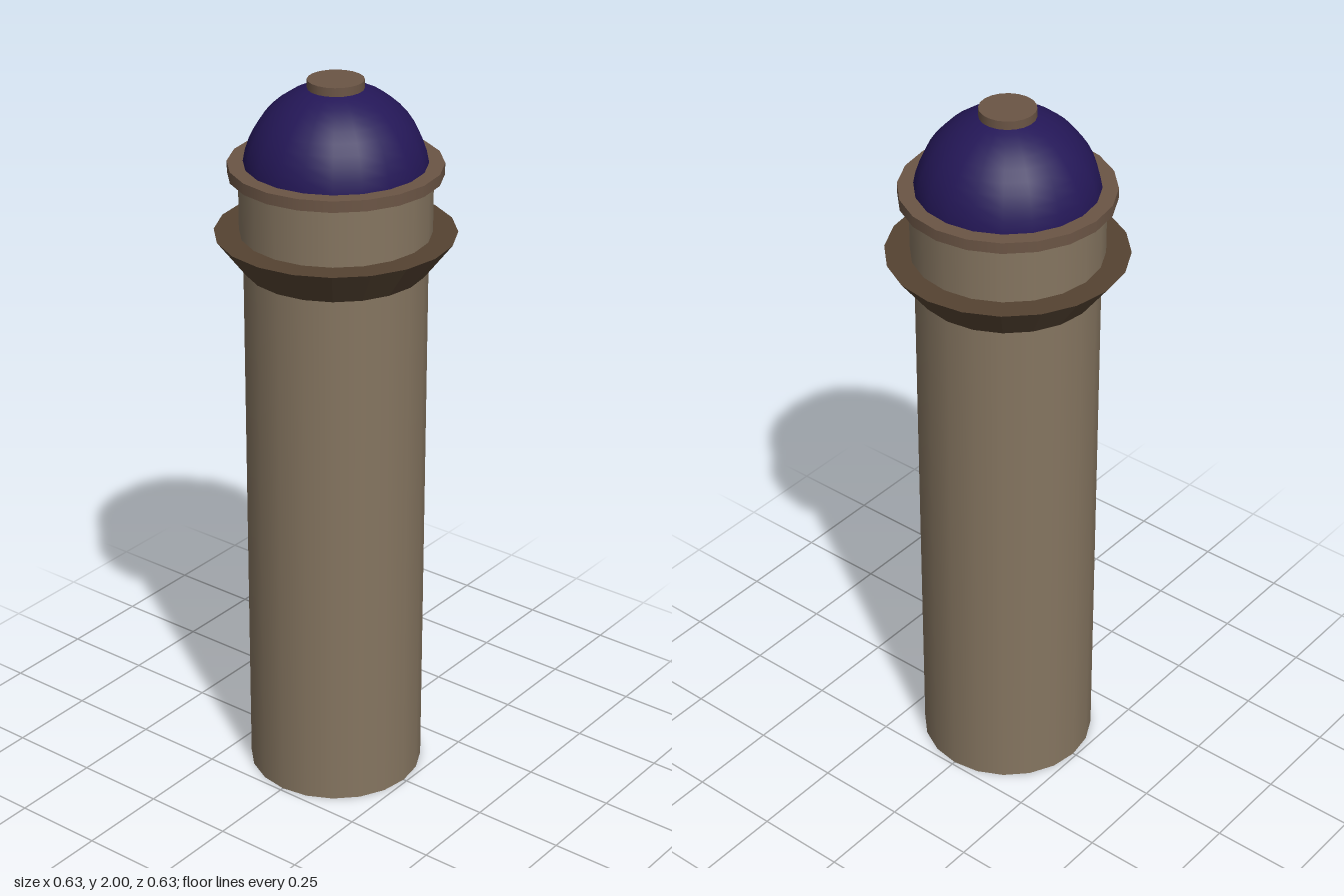
import * as THREE from 'three';

const SIDES = 20;

export function createModel() {
  const group = new THREE.Group();
  const stone = new THREE.MeshStandardMaterial({ color: 0x857560 });
  const trim = new THREE.MeshStandardMaterial({ color: 0x6b5545 });
  const darkTrim = new THREE.MeshStandardMaterial({ color: 0x554332, flatShading: true });
  const domePaint = new THREE.MeshStandardMaterial({ color: 0x241757 });
  const base = new THREE.MeshStandardMaterial({ color: 0x4c4c4c });

  const add = (name, geometry, material, y) => {
    const mesh = new THREE.Mesh(geometry, material);
    mesh.name = name;
    mesh.position.y = y;
    group.add(mesh);
    return mesh;
  };
  // Round section between two heights
  const drum = (name, rTop, rBottom, y0, y1, material) =>
    add(name, new THREE.CylinderGeometry(rTop, rBottom, y1 - y0, SIDES), material, (y0 + y1) / 2);

  // Tall shaft with a dark underside
  drum('shaft', 0.24, 0.24, 0, 1.5, [stone, stone, base]);

  // Flared collar, neck and rim
  drum('collar', 0.315, 0.24, 1.495, 1.593, darkTrim);
  drum('neck', 0.25, 0.25, 1.59, 1.752, stone);
  drum('rim', 0.278, 0.278, 1.75, 1.78, trim);

  // Dome rising out of the rim, with its cap
  add('dome', new THREE.SphereGeometry(0.239, SIDES, 12, 0, Math.PI * 2, 0, Math.PI / 2), domePaint, 1.75);
  drum('cap', 0.073, 0.073, 1.96, 2, trim);

  return group;
}
